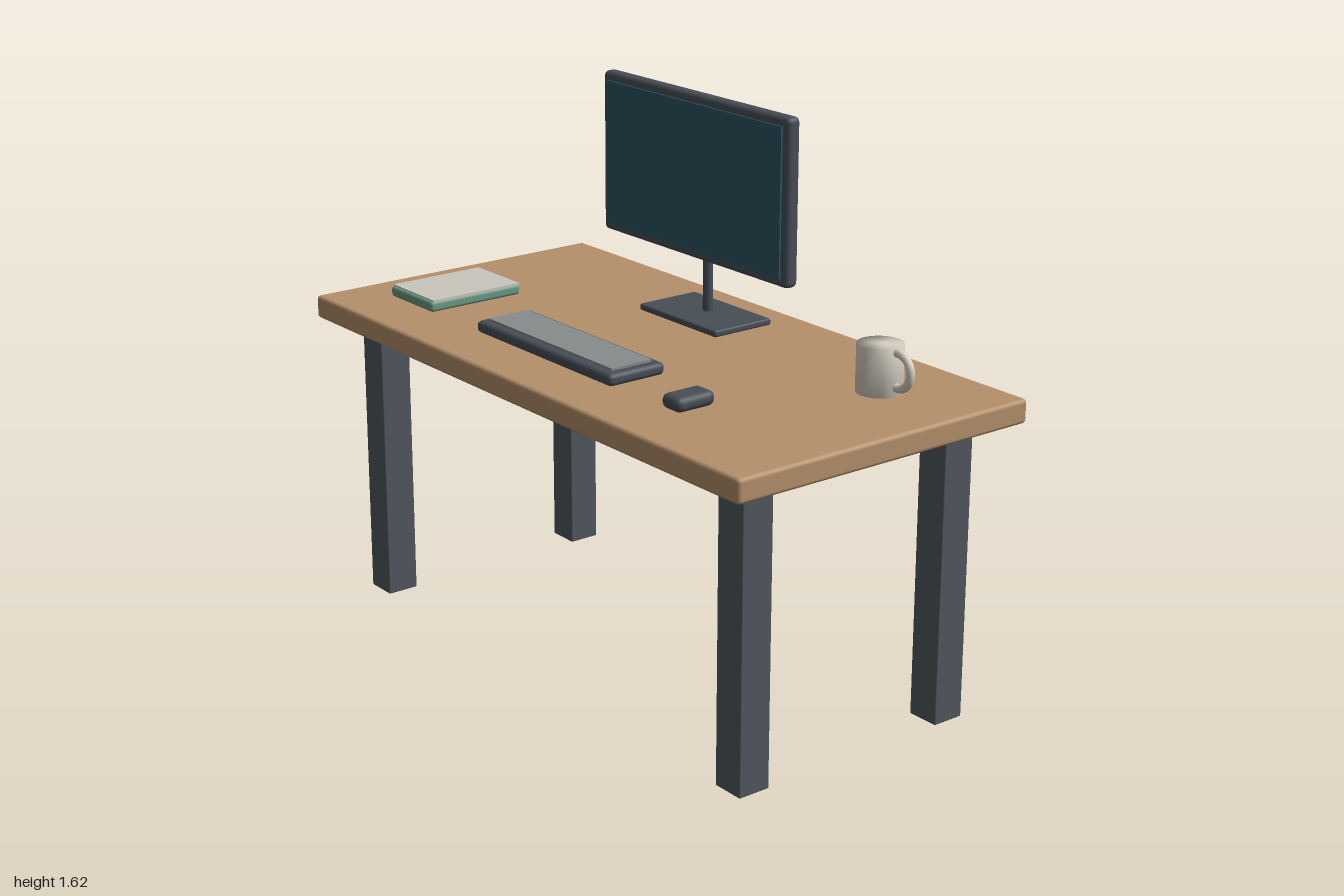
import * as THREE from 'three';
import { RoundedBoxGeometry } from 'three/addons/geometries/RoundedBoxGeometry.js';
import { mergeVertices } from 'three/addons/utils/BufferGeometryUtils.js';

const material = (name, color) => {
  const m = new THREE.MeshStandardMaterial({ color });
  m.name = name;
  return m;
};

export function createModel() {
  const wood = material('wood', 0xb5906b);
  const steel = material('steel', 0x50585e);
  const plastic = material('dark plastic', 0x484e57);
  const glass = material('screen teal', 0x2a5360);
  const keyGrey = material('key grey', 0x868c8d);
  const cover = material('cover green', 0x6c9984);
  const paper = material('paper', 0xcac7bd);
  const ceramic = material('ceramic', 0xd8d2c4);

  const model = new THREE.Group();
  model.name = 'desk';

  const add = (name, geometry, mat, parent = model) => {
    const mesh = new THREE.Mesh(geometry, mat);
    mesh.name = name;
    parent.add(mesh);
    return mesh;
  };
  const group = (name) => {
    const g = new THREE.Group();
    g.name = name;
    model.add(g);
    return g;
  };
  // Box given by its [min, max] on each axis, optionally with rounded edges
  const box = (name, [x0, x1], [y0, y1], [z0, z1], mat, radius = 0, parent = model) => {
    const size = [x1 - x0, y1 - y0, z1 - z0];
    const geometry = radius ? new RoundedBoxGeometry(...size, 3, radius) : new THREE.BoxGeometry(...size);
    const mesh = add(name, geometry, mat, parent);
    mesh.position.set((x0 + x1) / 2, (y0 + y1) / 2, (z0 + z1) / 2);
    return mesh;
  };

  // Table
  box('tableTop', [-1, 1], [0.87, 0.94], [-0.5, 0.5], wood, 0.012);
  for (const sx of [-1, 1]) {
    for (const sz of [-1, 1]) {
      const leg = box('leg', [-0.05, 0.05], [0, 0.875], [-0.05, 0.05], steel, 0.004);
      leg.position.x = sx * 0.85;
      leg.position.z = sz * 0.35;
    }
  }

  // Monitor on a slim round post
  const monitor = group('monitor');
  box('monitorBase', [-0.28, 0.075], [0.94, 0.96], [-0.39, -0.18], plastic, 0.006, monitor);
  const post = add('monitorPost', new THREE.CylinderGeometry(0.015, 0.015, 0.205, 20), plastic, monitor);
  post.position.set(-0.103, 1.0525, -0.297);
  box('monitorCase', [-0.525, 0.32], [1.13, 1.615], [-0.278, -0.232], plastic, 0.016, monitor);
  box('screen', [-0.5, 0.295], [1.156, 1.589], [-0.234, -0.226], glass, 0, monitor);

  // Keyboard with one raised key panel
  const keyboard = group('keyboard');
  box('keyboardBody', [-0.36, 0.28], [0.952, 0.988], [0.16, 0.35], plastic, 0.015, keyboard);
  box('keyPanel', [-0.332, 0.252], [0.986, 0.995], [0.187, 0.323], keyGrey, 0, keyboard);

  // Mouse
  box('mouse', [0.47, 0.55], [0.945, 0.988], [0.2, 0.33], plastic, 0.02);

  // Notebook
  const notebook = group('notebook');
  box('notebookCover', [-0.853, -0.629], [0.94, 0.972], [0.006, 0.326], cover, 0.01, notebook);
  box('notebookPage', [-0.85, -0.632], [0.968, 0.976], [0.009, 0.317], paper, 0, notebook);

  // Mug with softly shaded rim and a half-ring handle
  const mug = group('mug');
  mug.position.set(0.71, 1.0075, -0.23);
  const bodyGeometry = new THREE.CylinderGeometry(0.065, 0.065, 0.135, 32);
  bodyGeometry.deleteAttribute('normal');
  bodyGeometry.deleteAttribute('uv');
  const smoothBody = mergeVertices(bodyGeometry);
  smoothBody.computeVertexNormals();
  add('mugBody', smoothBody, ceramic, mug);
  const handle = add('mugHandle', new THREE.TorusGeometry(0.049, 0.012, 12, 24, Math.PI * 1.3), ceramic, mug);
  handle.rotation.z = -Math.PI * 0.65;
  handle.position.set(0.07, 0.007, 0);

  return model;
}
